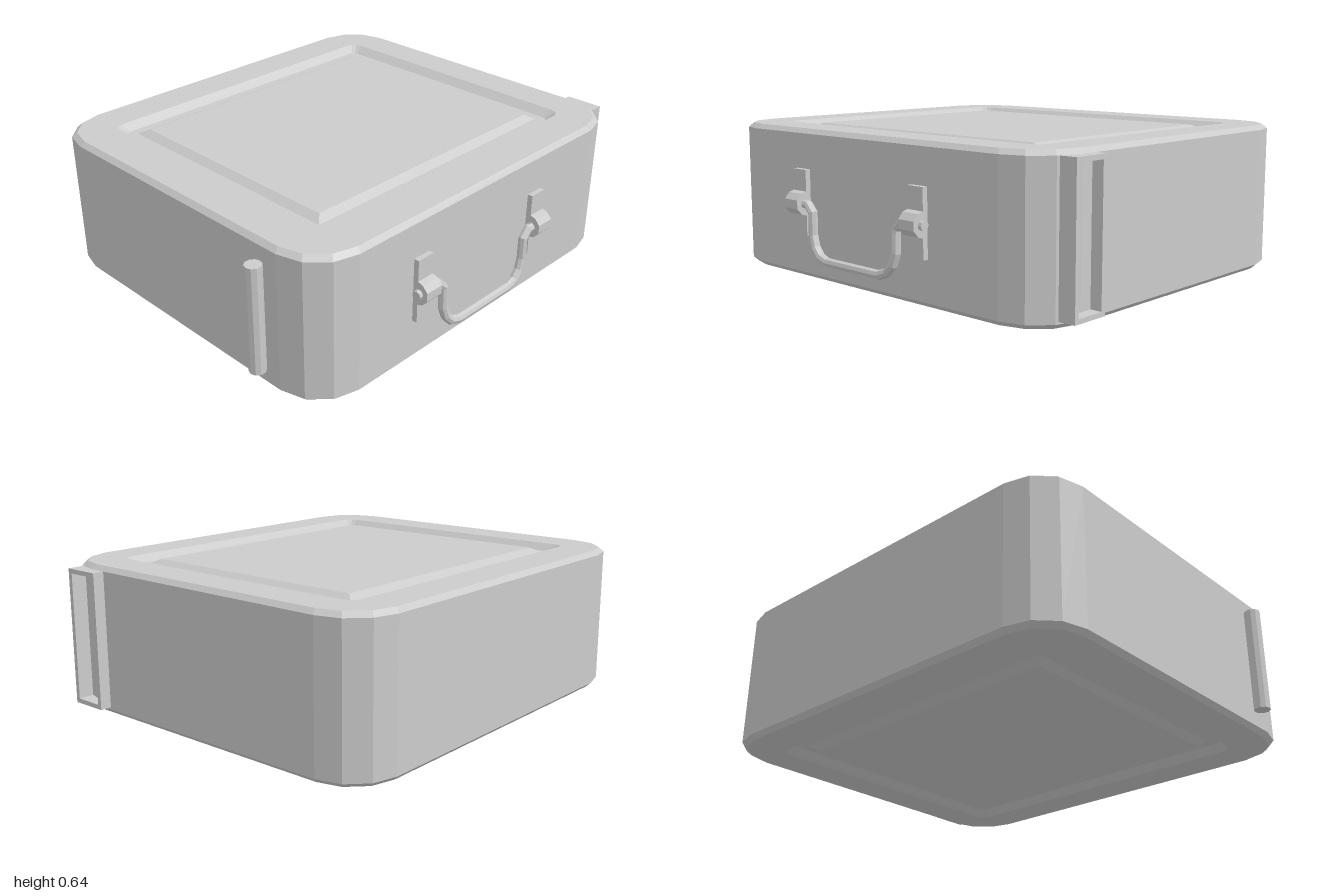
import * as THREE from 'three';

const material = new THREE.MeshStandardMaterial({ color: 0xcccccc, flatShading: true });

function part(name, geometry, parent) {
  const mesh = new THREE.Mesh(geometry, material);
  mesh.name = name;
  parent.add(mesh);
  return mesh;
}

// Horizontal rounded rectangle with three facets per corner
function ring([x0, x1, z0, z1, r, y]) {
  const corners = [[x1 - r, z1 - r], [x0 + r, z1 - r], [x0 + r, z0 + r], [x1 - r, z0 + r]];
  const points = [];
  corners.forEach(([cx, cz], q) => {
    for (let i = 0; i <= 3; i++) {
      const a = (q + i / 3) * Math.PI / 2;
      points.push(new THREE.Vector3(cx + r * Math.cos(a), y, cz + r * Math.sin(a)));
    }
  });
  return points;
}

// Skin a stack of rings, ordered along the surface from bottom centre to top centre
function loft(rings) {
  const positions = [];
  const addTriangle = (a, b, c) => {
    if (new THREE.Triangle(a, b, c).getArea() < 1e-8) return;
    for (const p of [a, b, c]) positions.push(p.x, p.y, p.z);
  };
  for (let k = 0; k < rings.length - 1; k++) {
    const low = rings[k], high = rings[k + 1], n = low.length;
    for (let i = 0; i < n; i++) {
      const j = (i + 1) % n;
      addTriangle(low[i], high[i], low[j]);
      addTriangle(low[j], high[i], high[j]);
    }
  }
  const geometry = new THREE.BufferGeometry();
  geometry.setAttribute('position', new THREE.Float32BufferAttribute(positions, 3));
  geometry.computeVertexNormals();
  return geometry;
}

// Polyline that keeps its corners when swept by a tube
class Polyline extends THREE.Curve {
  constructor(points) {
    super();
    this.points = points;
  }
  getUtoTmapping(u) {
    return u;
  }
  getPoint(t, target = new THREE.Vector3()) {
    const s = t * (this.points.length - 1);
    const i = Math.min(Math.floor(s + 1e-6), this.points.length - 2);
    return target.lerpVectors(this.points[i], this.points[i + 1], s - i);
  }
  getTangent(t, target = new THREE.Vector3()) {
    const p = this.points, last = p.length - 1, i = Math.round(t * last);
    const before = p[i].clone().sub(p[Math.max(i - 1, 0)]).normalize();
    const after = p[Math.min(i + 1, last)].clone().sub(p[i]).normalize();
    return target.copy(before.add(after).normalize());
  }
}

export function createModel() {
  const model = new THREE.Group();
  model.name = 'case';
  const H = 0.64;

  // Case: half profile from side wall to panel centre, mirrored for the underside
  const half = [
    [-0.87, 0.797, -0.95, 0.933, 0.21, 0.02],
    [-0.85, 0.777, -0.93, 0.913, 0.2, 0],
    [-0.685, 0.615, -0.77, 0.745, 0.05, 0],
    [-0.65, 0.58, -0.73, 0.71, 0.03, 0.03],
    [-0.61, 0.535, -0.69, 0.67, 0, 0.03],
    [-0.567, 0.5, -0.65, 0.635, 0, 0.008],
    [-0.034, -0.034, -0.008, -0.008, 0, 0.008],
  ];
  const upper = half.map((r) => [...r.slice(0, 5), H - r[5]]);
  part('caseBody', loft([...half.reverse(), ...upper].map(ring)), model);

  // Upright rod on the front
  part('frontRod', new THREE.CylinderGeometry(0.035, 0.035, 0.47, 10), model).position.set(0.5, 0.32, 0.966);

  // Hollow frame on the back corner
  const frame = new THREE.Shape([[0.51, 0.03], [0.68, 0.03], [0.68, 0.62], [0.51, 0.62]].map((p) => new THREE.Vector2(...p)));
  frame.holes.push(new THREE.Path([[0.53, 0.05], [0.53, 0.6], [0.66, 0.6], [0.66, 0.05]].map((p) => new THREE.Vector2(...p))));
  part('backFrame', new THREE.ExtrudeGeometry(frame, { depth: 0.09, bevelEnabled: false }), model).position.z = -1;

  // Carrying handle: two mounts with pins and a bent bar
  const handle = new THREE.Group();
  handle.name = 'handle';
  model.add(handle);
  const mountShape = new THREE.Shape([
    [0.78, 0.19], [0.82, 0.19], [0.82, 0.275], [0.844, 0.282], [0.867, 0.308],
    [0.867, 0.345], [0.844, 0.371], [0.82, 0.378], [0.82, 0.47], [0.78, 0.47],
  ].map((p) => new THREE.Vector2(...p)));
  const middle = 0.024;
  for (const side of [1, -1]) {
    const mount = part('handleMount', new THREE.ExtrudeGeometry(mountShape, { depth: 0.086, bevelEnabled: false }), handle);
    mount.position.z = middle + side * 0.361 - 0.043;
    const pin = part('handlePin', new THREE.CylinderGeometry(0.02, 0.02, 0.11, 8), handle);
    pin.rotation.x = Math.PI / 2;
    pin.position.set(0.827, 0.326, middle + side * 0.366);
  }
  const halfBar = [
    [0.827, 0.326, 0.36], [0.827, 0.326, 0.295], [0.829, 0.295, 0.262], [0.831, 0.2, 0.26],
    [0.833, 0.15, 0.243], [0.835, 0.115, 0.21], [0.836, 0.1, 0.165],
  ];
  const bar = [
    ...halfBar.map(([x, y, z]) => new THREE.Vector3(x, y, middle + z)),
    ...halfBar.reverse().map(([x, y, z]) => new THREE.Vector3(x, y, middle - z)),
  ];
  part('handleBar', new THREE.TubeGeometry(new Polyline(bar), bar.length - 1, 0.02, 8), handle);

  return model;
}
